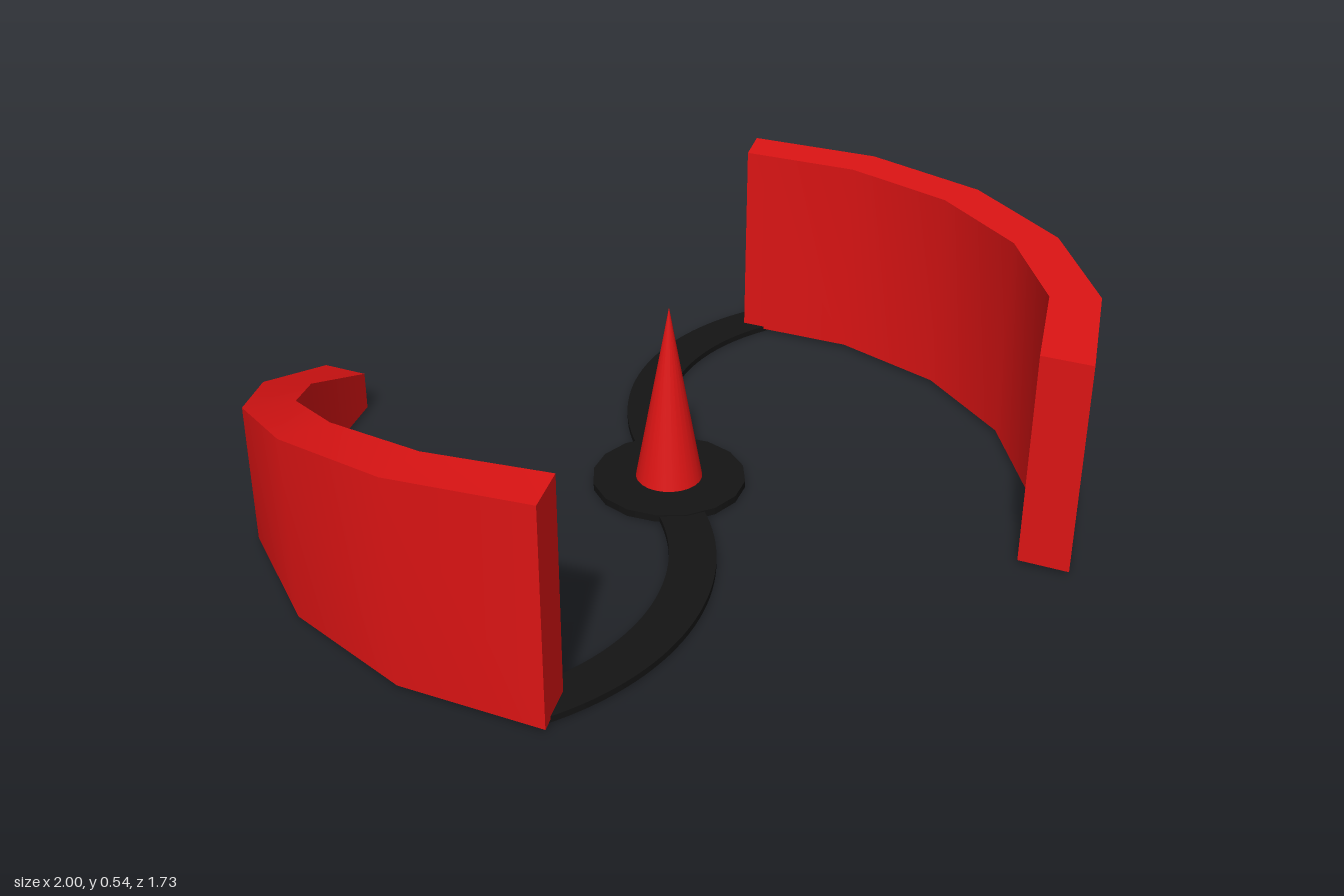
import * as THREE from 'three';
import { toCreasedNormals } from 'three/addons/utils/BufferGeometryUtils.js';

const red = new THREE.MeshStandardMaterial({ color: 0xdd1414 });
const black = new THREE.MeshStandardMaterial({ color: 0x141414 });

function add(parent, name, geometry, material) {
  const mesh = new THREE.Mesh(geometry, material);
  mesh.name = name;
  parent.add(mesh);
  return mesh;
}

// Curved wall: one rectangular section every 20 degrees, each with its own height
function wallGeometry(heights, inner = 0.88, outer = 1, bottom = 0.01) {
  const positions = [], index = [];
  heights.forEach((top, i) => {
    const t = THREE.MathUtils.degToRad(-40 + 20 * i);
    for (const [r, y] of [[inner, bottom], [outer, bottom], [outer, top], [inner, top]])
      positions.push(r * Math.cos(t), y, r * Math.sin(t));
    if (i === 0) return;
    for (let k = 0; k < 4; k++) {
      const a = (i - 1) * 4 + k, b = (i - 1) * 4 + (k + 1) % 4;
      index.push(a, b, b + 4, a, b + 4, a + 4);
    }
  });
  const e = (heights.length - 1) * 4;
  index.push(0, 2, 1, 0, 3, 2, e, e + 1, e + 2, e, e + 2, e + 3);
  const geometry = new THREE.BufferGeometry();
  geometry.setAttribute('position', new THREE.Float32BufferAttribute(positions, 3));
  geometry.setIndex(index);
  return toCreasedNormals(geometry, 0.6);
}

// Flat curved arm, a quarter ring lying on the ground
function armGeometry() {
  const start = THREE.MathUtils.degToRad(82), end = Math.PI;
  const shape = new THREE.Shape();
  shape.absarc(0.66, -0.05, 0.675, start, end, false);
  shape.absarc(0.66, -0.05, 0.565, end, start, true);
  const geometry = new THREE.ExtrudeGeometry(shape, { depth: 0.015, bevelEnabled: false, curveSegments: 20 });
  geometry.rotateX(-Math.PI / 2);
  geometry.translate(0, 0.002, 0);
  return toCreasedNormals(geometry, 0.6);
}

export function createModel() {
  const model = new THREE.Group();
  model.name = 'model';

  // Hub disc with the spike in the middle
  add(model, 'hub', new THREE.CylinderGeometry(0.19, 0.19, 0.018, 16), black).position.y = 0.011;
  add(model, 'spike', new THREE.ConeGeometry(0.085, 0.475, 24), red).position.y = 0.2425;
  const rim = add(model, 'spikeBaseRim', new THREE.RingGeometry(0.07, 0.085, 24), red);
  rim.rotation.x = Math.PI / 2;

  // Two arms and walls, half a turn apart: one wall level, one sloping down
  const sides = [
    ['left', [0.54, 0.54, 0.54, 0.54, 0.54, 0.54]],
    ['right', [0.54, 0.515, 0.46, 0.36, 0.24, 0.11]],
  ];
  sides.forEach(([side, heights], i) => {
    const half = new THREE.Group();
    half.name = side + 'Half';
    half.rotation.y = i * Math.PI;
    add(half, side + 'Arm', armGeometry(), black);
    add(half, side + 'Wall', wallGeometry(heights), red);
    model.add(half);
  });
  return model;
}
